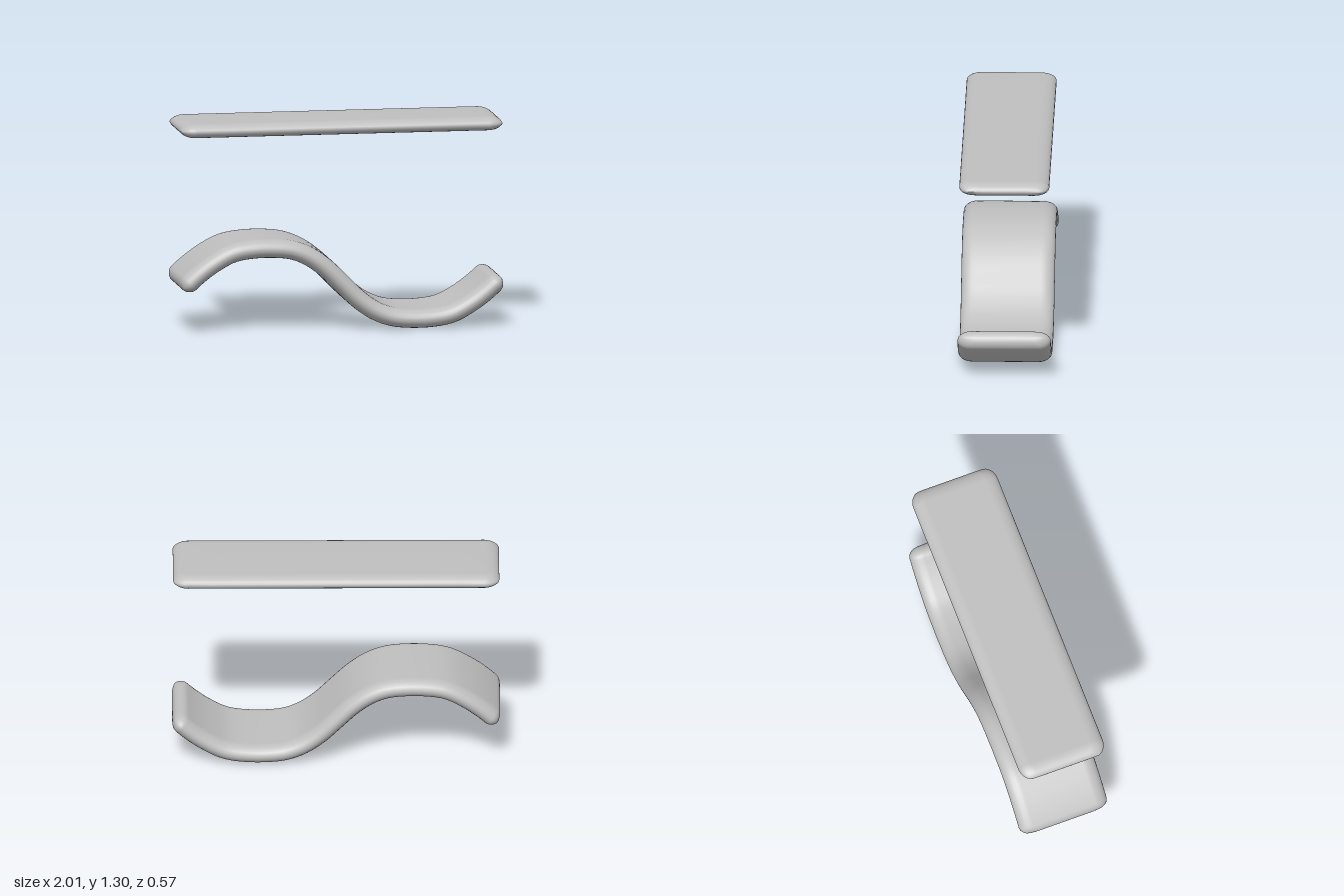
import * as THREE from 'three';

// Soft-edged slab swept along a curve in the xy plane
function slab(curve, halfWidth, halfThick, edge, endRound, steps) {
  const length = curve.getLength();
  const arc = 8;
  // Distances along the path, packed tightly at the rounded ends
  const stations = [];
  for (let i = 0; i <= arc; i++) stations.push(endRound * (1 - Math.cos((i / arc) * Math.PI / 2)));
  for (let i = 1; i < steps; i++) stations.push(endRound + (length - 2 * endRound) * i / steps);
  for (let i = arc; i >= 0; i--) stations.push(length - stations[i]);

  // Cross-section: flat faces joined by elliptical edges
  const angles = [];
  for (const start of [-Math.PI / 2, Math.PI / 2]) {
    for (let i = 0; i <= 12; i++) angles.push({ a: start + i * Math.PI / 12, side: start < 0 ? 1 : -1 });
  }
  const n = angles.length;
  const positions = [];
  const index = [];
  stations.forEach((s, i) => {
    const u = Math.min(1, Math.max(0, s / length));
    const p = curve.getPointAt(u);
    const t = curve.getTangentAt(u);
    const d = Math.min(s, length - s);
    const r = Math.max(0, 1 - d / endRound);
    const k = Math.sqrt(Math.max(0, 1 - r * r));
    const w = halfWidth - 0.07 * (1 - k);
    for (const { a, side } of angles) {
      const h = halfThick * Math.max(k, 0.02) * Math.sin(a);
      const z = side * (w - edge) + edge * Math.cos(a);
      positions.push(p.x - t.y * h, p.y + t.x * h, z);
    }
    if (i === 0) return;
    for (let j = 0; j < n; j++) {
      const a = (i - 1) * n + j, b = (i - 1) * n + (j + 1) % n;
      index.push(a, a + n, b, b, a + n, b + n);
    }
  });
  // Close the two narrow tips
  const last = (stations.length - 1) * n;
  for (let j = 1; j < n - 1; j++) {
    index.push(0, j, j + 1, last, last + j + 1, last + j);
  }
  const geometry = new THREE.BufferGeometry();
  geometry.setAttribute('position', new THREE.Float32BufferAttribute(positions, 3));
  geometry.setIndex(index);
  geometry.computeVertexNormals();
  return geometry;
}

export function createModel() {
  const group = new THREE.Group();
  const grey = new THREE.MeshStandardMaterial({ color: 0xbfbfbf });
  grey.name = 'light grey';

  // Flat upper board
  const line = new THREE.LineCurve3(new THREE.Vector3(-1, 1.258, 0), new THREE.Vector3(1, 1.258, 0));
  const board = new THREE.Mesh(slab(line, 0.276, 0.043, 0.085, 0.09, 12), grey);
  board.name = 'flatBoard';

  // S-shaped lower board: half the wave, repeated by point symmetry
  const half = [
    [-0.99, 0.277], [-0.9, 0.36], [-0.8, 0.433], [-0.68, 0.495], [-0.55, 0.517],
    [-0.4, 0.517], [-0.3, 0.502], [-0.2, 0.46], [-0.1, 0.388],
  ];
  const middle = 0.29;
  const points = [
    ...half,
    [0, middle],
    ...half.map(([x, y]) => [-x, 2 * middle - y]).reverse(),
  ].map(([x, y]) => new THREE.Vector3(x, y, 0));
  const wave = new THREE.Mesh(
    slab(new THREE.CatmullRomCurve3(points), 0.287, 0.058, 0.085, 0.06, 72), grey);
  wave.name = 'wavyBoard';

  group.add(board, wave);
  return group;
}
